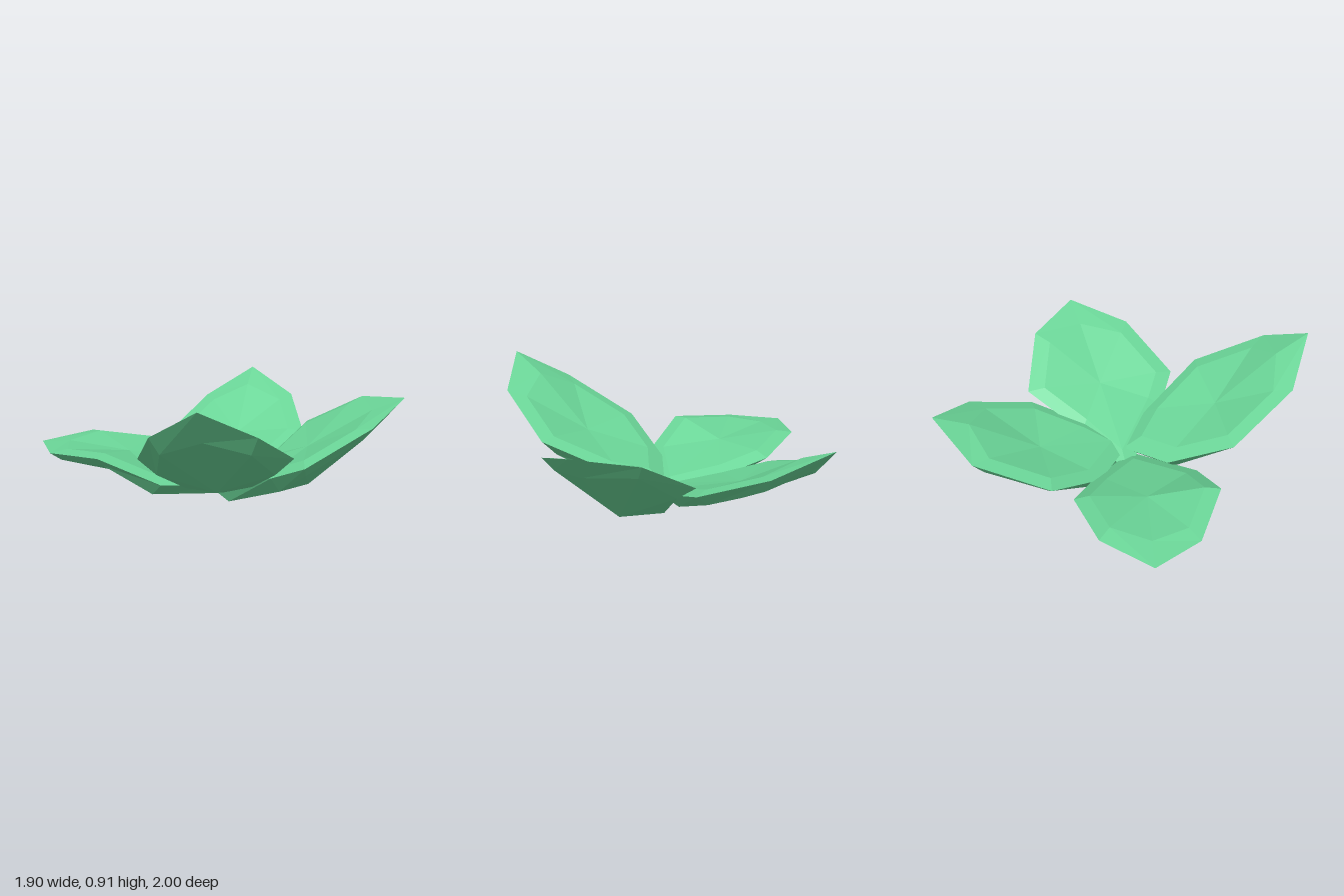
import * as THREE from 'three';

// Each leaf is a thick faceted pad: rim outline (tip, three down one side, heel,
// three up the other side), belly (middle of the underside), root, and underside sag.
const LEAVES = [
  { name: 'frontRightLeaf', belly: [-0.36, 0.22, 0.4], root: [-0.09, 0.1, 0.13], sag: 0.05,
    rim: [[-0.88, 0.91, 0.9], [-0.53, 0.73, 1.0], [-0.1, 0.49, 0.82], [0.04, 0.28, 0.35],
      [0.02, 0.19, 0.03], [-0.35, 0.25, -0.03], [-0.75, 0.44, 0.11], [-0.95, 0.7, 0.53]] },
  { name: 'frontLeftLeaf', belly: [0.4, 0.13, 0.4], root: [0, 0, 0.06], sag: 0.02,
    rim: [[0.89, 0.71, 0.77], [0.92, 0.64, 0.35], [0.75, 0.42, -0.01], [0.34, 0.21, 0.02],
      [-0.09, 0.12, -0.1], [-0.01, 0.27, 0.5], [0.05, 0.38, 0.75], [0.49, 0.59, 0.88]] },
  { name: 'backLeftLeaf', belly: [0.37, 0.18, -0.4], root: [0.05, 0.07, 0], sag: 0.05,
    rim: [[0.92, 0.65, -0.82], [0.56, 0.47, -0.91], [0.1, 0.32, -0.72], [-0.03, 0.2, -0.35],
      [0.03, 0.16, 0.13], [0.3, 0.22, 0.11], [0.72, 0.35, -0.02], [0.95, 0.51, -0.41]] },
  { name: 'backRightLeaf', belly: [-0.46, 0.155, -0.5], root: [-0.06, 0.055, 0], sag: 0.025,
    rim: [[-0.79, 0.32, -1.0], [-0.92, 0.33, -0.67], [-0.83, 0.376, -0.23], [-0.53, 0.21, 0.04],
      [0, 0.12, 0.09], [0.01, 0.2, -0.35], [-0.04, 0.29, -0.69], [-0.4, 0.34, -0.98]] },
];

// How far each underside corner lies from the rim towards the belly
const UNDER_INSET = [0.25, 0.15, 0.24, 0.22, 0, 0.22, 0.24, 0.15];

function leafGeometry({ rim, belly, root, sag }) {
  const outer = rim.map((p) => new THREE.Vector3(...p));
  const [tip, , sideA, , , , sideB] = outer;
  const up = new THREE.Vector3().subVectors(sideA, tip)
    .cross(new THREE.Vector3().subVectors(sideB, tip)).normalize();
  if (up.y < 0) up.negate();

  // Upper face: bevelled ring just above the rim, with a slightly hollow middle
  const topMiddle = sideA.clone().lerp(sideB, 0.5).addScaledVector(up, -0.02);
  const topRing = outer.map((p, i) =>
    p.clone().lerp(topMiddle, i === 0 ? 0.32 : 0.22).addScaledVector(up, 0.025));

  // Underside: ring sagging below the rim, closing at the root
  const underMiddle = new THREE.Vector3(...belly);
  const underRing = outer.map((p, i) => {
    if (i === 4) return new THREE.Vector3(...root);
    const q = p.clone().lerp(underMiddle, UNDER_INSET[i]);
    q.y -= i === 3 || i === 5 ? 0.08 : sag;
    return q;
  });

  const points = [];
  for (let i = 0; i < outer.length; i++) {
    const j = (i + 1) % outer.length;
    points.push(topRing[i], outer[i], outer[j], topRing[i], outer[j], topRing[j]);
    points.push(topMiddle, topRing[i], topRing[j]);
    points.push(underRing[i], outer[j], outer[i], underRing[i], underRing[j], outer[j]);
    points.push(underMiddle, underRing[j], underRing[i]);
  }
  const geometry = new THREE.BufferGeometry().setFromPoints(points);
  geometry.computeVertexNormals();
  return geometry;
}

export function createModel() {
  const group = new THREE.Group();
  group.name = 'leafRosette';
  const leafGreen = new THREE.MeshStandardMaterial({ color: 0x6bd698, flatShading: true });
  leafGreen.name = 'leafGreen';
  for (const leaf of LEAVES) {
    const mesh = new THREE.Mesh(leafGeometry(leaf), leafGreen);
    mesh.name = leaf.name;
    group.add(mesh);
  }
  return group;
}
